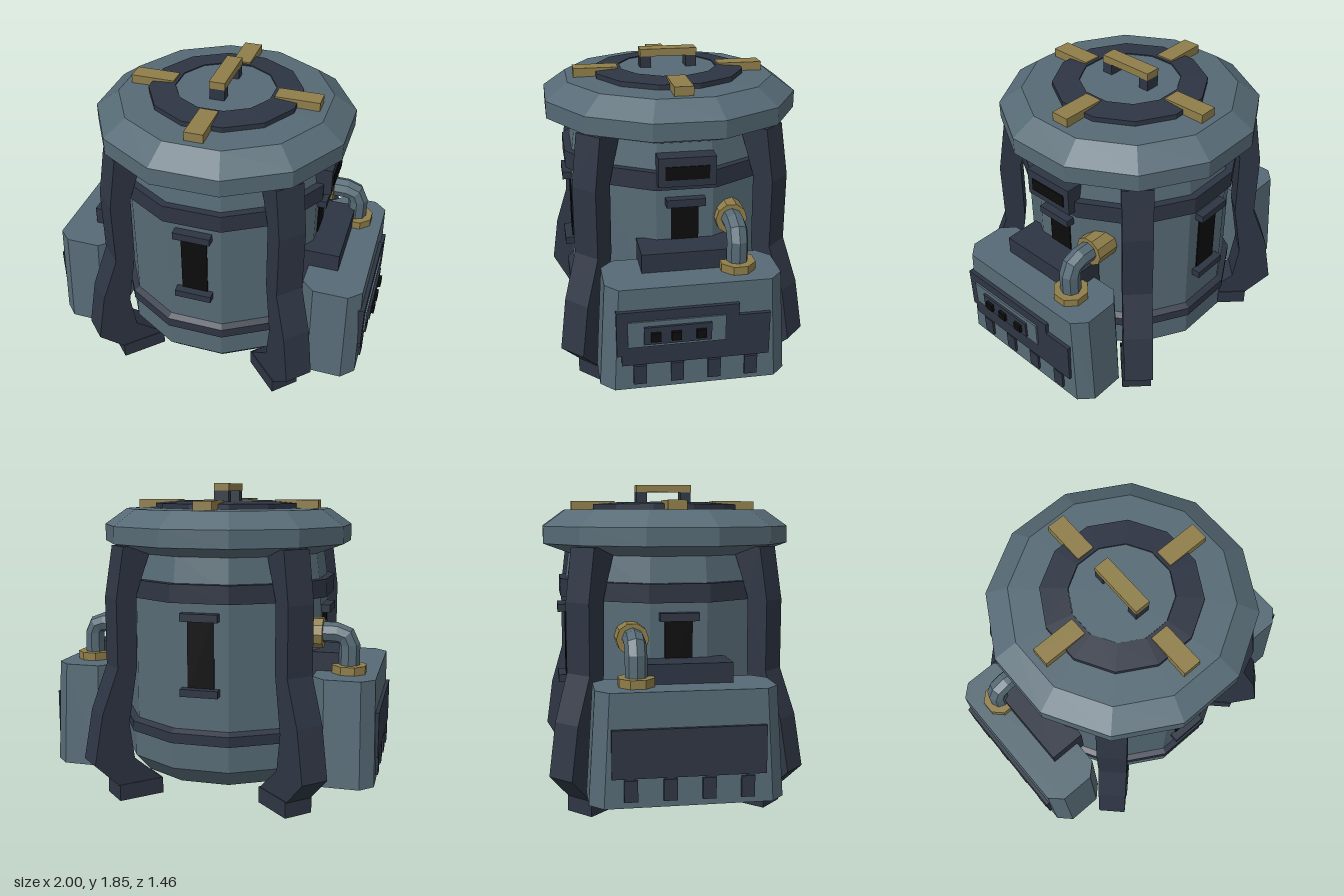
import * as THREE from 'three';

const mat = (name, color) => {
  const m = new THREE.MeshStandardMaterial({ color });
  m.name = name;
  return m;
};

export function createModel() {
  const teal = mat('tealMetal', 0x566a75);
  const dark = mat('darkMetal', 0x2e3543);
  const brass = mat('brass', 0x8f7e4a);
  const black = mat('blackGlass', 0x0c0c0c);

  const model = new THREE.Group();
  model.name = 'reactorCanister';
  const core = new THREE.Group();
  core.name = 'canister';
  core.position.x = -0.02;
  model.add(core);

  // Faceted mesh helper
  const add = (name, geo, material, parent = core) => {
    const g = geo.index ? geo.toNonIndexed() : geo;
    g.computeVertexNormals();
    const mesh = new THREE.Mesh(g, material);
    mesh.name = name;
    parent.add(mesh);
    return mesh;
  };
  // Box given by its min and max on each axis
  const box = (name, material, [x0, x1], [y0, y1], [z0, z1], parent = core) => {
    const g = new THREE.BoxGeometry(Math.abs(x1 - x0), y1 - y0, z1 - z0);
    g.translate((x0 + x1) / 2, (y0 + y1) / 2, (z0 + z1) / 2);
    return add(name, g, material, parent);
  };
  // Twelve-sided turned part; radii are measured to the flats
  const turned = (name, material, profile) => {
    const pts = profile.map(([r, y]) => new THREE.Vector2(r / Math.cos(Math.PI / 12), y));
    return add(name, new THREE.LatheGeometry(pts, 12, Math.PI / 12), material);
  };
  const shapeOf = (pts) => new THREE.Shape(pts.map(([x, y]) => new THREE.Vector2(x, y)));
  const extrude = (pts, depth) =>
    new THREE.ExtrudeGeometry(shapeOf(pts), { depth, bevelEnabled: false });

  // Body and bands
  turned('base', teal, [[0, 0.13], [0.53, 0.13], [0.62, 0.235], [0.62, 0.39], [0.59, 0.4]]);
  turned('body', teal, [[0.6, 0.38], [0.6, 1.25], [0.57, 1.47]]);
  turned('lowerBand', dark, [[0.59, 0.39], [0.635, 0.39], [0.635, 0.45], [0.59, 0.475]]);
  turned('upperBand', dark, [[0.58, 1.2], [0.635, 1.2], [0.635, 1.305], [0.57, 1.305]]);

  // Lid
  turned('lid', teal, [[0.5, 1.45], [0.57, 1.45], [0.73, 1.51], [0.73, 1.61], [0.6, 1.705], [0, 1.715]]);
  turned('lidRing', dark, [[0.43, 1.7], [0.43, 1.737], [0.28, 1.75], [0.28, 1.7]]);
  turned('lidCentre', teal, [[0.278, 1.7], [0.278, 1.745], [0, 1.745]]);
  for (let i = 0; i < 4; i++) {
    box('lidClasp', brass, [-0.054, 0.054], [1.7, 1.757], [0.3, 0.56]).rotation.y = (i * Math.PI) / 2;
  }

  // Carry handle
  box('handleBar', brass, [-0.046, 0.046], [1.81, 1.853], [-0.167, 0.167]);
  for (const s of [-1, 1]) {
    box('handlePost', dark, [-0.044, 0.044], [1.74, 1.81], [s * 0.135 - 0.032, s * 0.135 + 0.032]);
  }

  // Slot windows on the four sides
  for (let i = 0; i < 4; i++) {
    const g = new THREE.Group();
    g.name = 'slotWindow';
    g.rotation.y = (i * Math.PI) / 2;
    core.add(g);
    box('windowGlass', black, [-0.078, 0.078], [0.7, 1.12], [0.599, 0.607], g);
    box('windowCap', dark, [-0.11, 0.11], [1.1, 1.145], [0.58, 0.652], g);
    box('windowSill', dark, [-0.11, 0.11], [0.672, 0.715], [0.58, 0.652], g);
  }

  // Four bent legs with feet
  const legProfile = [
    [0.51, 0.09], [0.79, 0.09], [0.94, 0.24], [0.885, 0.54], [0.785, 0.8], [0.785, 1.2],
    [0.735, 1.5], [0.56, 1.5], [0.66, 1.22], [0.665, 0.8], [0.72, 0.47], [0.69, 0.25],
  ];
  for (let i = 0; i < 4; i++) {
    const g = new THREE.Group();
    g.name = 'legAssembly';
    g.rotation.y = Math.PI / 4 + (i * Math.PI) / 2;
    core.add(g);
    const leg = extrude(legProfile, 0.17);
    leg.translate(0, 0, -0.085);
    add('leg', leg, dark, g);
    box('foot', dark, [0.51, 0.79], [0, 0.097], [-0.09, 0.09], g);
  }

  // Tapered side pod with chamfered corners
  const podGeometry = () => {
    const [a, b, z, c] = [0.61, 0.967, 0.525, 0.075];
    const g = extrude([
      [a + c, -z], [b - c, -z], [b, -z + c], [b, z - c],
      [b - c, z], [a + c, z], [a, z - c], [a, -z + c],
    ], 0.61);
    g.rotateX(-Math.PI / 2);
    const p = g.attributes.position;
    for (let i = 0; i < p.count; i++) {
      const t = p.getY(i) / 0.61;
      p.setX(i, p.getX(i) * (1 - 0.013 * t));
      p.setZ(i, p.getZ(i) * (1 - 0.075 * t));
    }
    g.translate(0, 0.17, 0);
    return g;
  };

  for (const s of [1, -1]) {
    const side = s > 0 ? 'left' : 'right';
    const pod = add(side + 'Pod', podGeometry(), teal);
    if (s < 0) pod.rotation.y = Math.PI;
    box(side + 'PodBracket', dark, [s * 0.56, s * 0.78], [0.6, 0.89], [-0.26, 0.27]);
    for (let i = 0; i < 4; i++) {
      const z = -0.31 + i * 0.207;
      box(side + 'PodTooth', dark, [s * 0.93, s * 0.98], [0.205, 0.32], [z - 0.036, z + 0.036]);
    }

    // Elbow pipe from the pod to the body
    const v = (x, y) => new THREE.Vector3(s * x, y, -0.26);
    const path = new THREE.CurvePath();
    path.add(new THREE.LineCurve3(v(0.79, 0.78), v(0.79, 0.93)));
    path.add(new THREE.QuadraticBezierCurve3(v(0.79, 0.93), v(0.79, 1.01), v(0.71, 1.01)));
    path.add(new THREE.LineCurve3(v(0.71, 1.01), v(0.5, 1.01)));
    add(side + 'Pipe', new THREE.TubeGeometry(path, 9, 0.06, 8), teal);
    const flange = new THREE.CylinderGeometry(0.103, 0.103, 0.055, 8);
    flange.rotateY(Math.PI / 8);
    flange.translate(s * 0.79, 0.8, -0.26);
    add(side + 'PipeFlange', flange, brass);
    const collar = new THREE.CylinderGeometry(0.09, 0.09, 0.14, 10);
    collar.rotateZ(Math.PI / 2);
    collar.translate(s * 0.57, 1.005, -0.26);
    add(side + 'PipeCollar', collar, brass);
  }

  // Plain panel on one pod, stepped control panel on the other
  box('rightPodPanel', dark, [-0.93, -0.98], [0.33, 0.59], [-0.41, 0.41]);
  const panel = extrude([
    [-0.436, 0.39], [-0.41, 0.39], [-0.41, 0.33], [0.41, 0.33],
    [0.41, 0.588], [0.235, 0.588], [0.235, 0.657], [-0.436, 0.657],
  ], 0.05);
  panel.rotateY(Math.PI / 2);
  panel.translate(0.93, 0, 0);
  add('controlPanel', panel, dark);
  box('controlPlate', teal, [0.97, 0.99], [0.446, 0.6], [-0.16, 0.377]);
  box('controlInset', dark, [0.98, 1.003], [0.465, 0.57], [-0.08, 0.29]);
  for (const z of [0.228, 0.115, -0.02]) {
    box('controlButton', black, [1.0, 1.02], [0.488, 0.54], [z - 0.027, z + 0.027]);
  }

  // Display on the upper band
  box('displayHousing', dark, [0.58, 0.68], [1.235, 1.4], [-0.16, 0.16]);
  box('displayGlass', black, [0.678, 0.686], [1.275, 1.35], [-0.122, 0.122]);

  return model;
}
